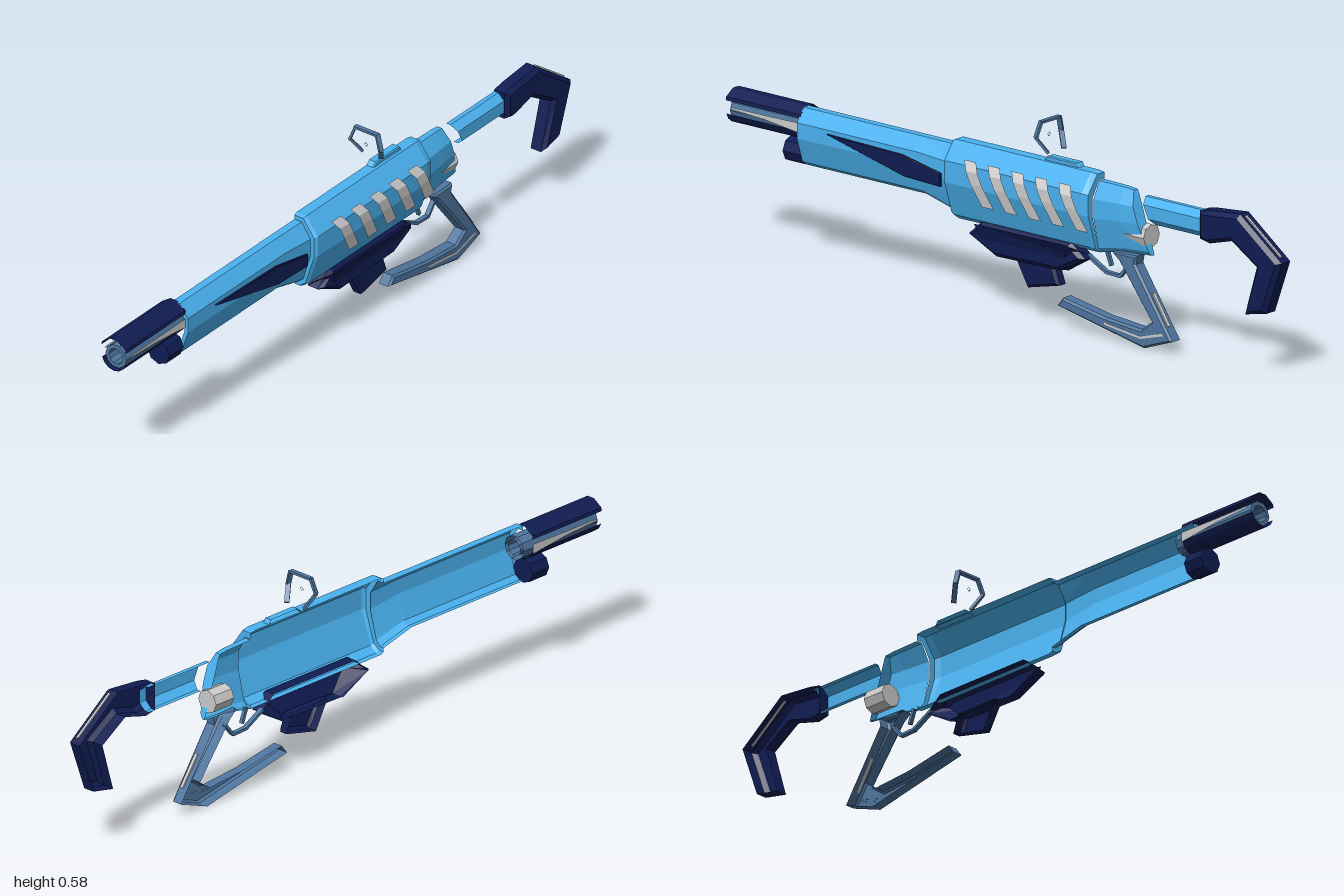
import * as THREE from 'three';

const BLUE = 0x4ab2f0, NAVY = 0x101c52, STEEL = 0x4e759f, GREY = 0xcccccc;
const Z0 = -0.014; // centre plane of the gun; the half shells open here

const mat = (color) => new THREE.MeshStandardMaterial({ color, flatShading: true, side: THREE.DoubleSide });

function add(group, name, color, geometry) {
  const mesh = new THREE.Mesh(geometry, mat(color));
  mesh.name = name;
  group.add(mesh);
  return mesh;
}

// Surface through rows of points (all rows the same length)
function skin(rows) {
  const pos = [];
  for (let i = 0; i + 1 < rows.length; i++) {
    for (let j = 0; j + 1 < rows[i].length; j++) {
      const a = rows[i][j], b = rows[i + 1][j], c = rows[i + 1][j + 1], d = rows[i][j + 1];
      pos.push(...a, ...b, ...c, ...a, ...c, ...d);
    }
  }
  const g = new THREE.BufferGeometry();
  g.setAttribute('position', new THREE.Float32BufferAttribute(pos, 3));
  g.computeVertexNormals();
  return g;
}

// Half-octagon cross-section: [depth fraction, height fraction]
const PROFILE = [[0, 1], [0.45, 1], [1, 0.77], [1, 0.5], [0.55, 0.07], [0.25, 0], [0, 0]];

// Half shell from stations [xTop, xBottom, yBottom, yTop, depth]
function shell(stations, profile = PROFILE) {
  return skin(stations.map(([xt, xb, yb, yt, d]) =>
    profile.map(([w, u]) => [xb + (xt - xb) * u, yb + (yt - yb) * u, Z0 + w * d])));
}

// Side outline raised from the centre plane, chamfered in front and open behind
function plate(points, depth, bevel, z = Z0) {
  const shape = new THREE.Shape(points.map((p) => new THREE.Vector2(...p)));
  const src = new THREE.ExtrudeGeometry(shape, {
    depth: depth - bevel, bevelEnabled: bevel > 0, bevelThickness: bevel,
    bevelSize: bevel, bevelOffset: -bevel, bevelSegments: 1, steps: 1,
  }).toNonIndexed();
  const p = src.attributes.position.array, keep = [];
  for (let i = 0; i < p.length; i += 9) {
    if (Math.max(p[i + 2], p[i + 5], p[i + 8]) > 1e-5) keep.push(...p.slice(i, i + 9));
  }
  const g = new THREE.BufferGeometry();
  g.setAttribute('position', new THREE.Float32BufferAttribute(keep, 3));
  g.computeVertexNormals();
  return g.translate(0, 0, z);
}

// Straight bar between two points
function bar(group, name, color, from, to, width, thick) {
  const a = new THREE.Vector3(...from), b = new THREE.Vector3(...to);
  const mesh = add(group, name, color, new THREE.BoxGeometry(width, thick, a.distanceTo(b) + thick * 0.4));
  mesh.position.copy(a).add(b).multiplyScalar(0.5);
  mesh.lookAt(b);
}

// Arc of a tube along x, angles measured from +z towards +y
function barrelArc(x0, x1, y, r, a0, a1, n) {
  return skin([x0, x1].map((x) => Array.from({ length: n + 1 }, (_, i) => {
    const a = a0 + (a1 - a0) * i / n;
    return [x, y + r * Math.sin(a), Z0 + r * Math.cos(a)];
  })));
}

export function createModel() {
  const gun = new THREE.Group();
  gun.name = 'rifle';

  // Main receiver with stepped end lips
  add(gun, 'receiver', BLUE, shell([
    [-0.19, -0.19, 0.262, 0.455, 0.05], [-0.19, -0.19, 0.25, 0.468, 0.068],
    [-0.18, -0.18, 0.245, 0.473, 0.074], [0.31, 0.31, 0.245, 0.473, 0.074],
    [0.33, 0.33, 0.245, 0.47, 0.068], [0.33, 0.33, 0.255, 0.452, 0.05],
  ]));
  // Long fore-end
  add(gun, 'foreEnd', BLUE, shell([
    [-0.735, -0.735, 0.305, 0.44, 0.04], [-0.735, -0.735, 0.29, 0.455, 0.052],
    [-0.3, -0.3, 0.29, 0.455, 0.052], [-0.19, -0.19, 0.262, 0.455, 0.055],
  ]));
  // Rear receiver with raked back
  add(gun, 'rearReceiver', BLUE, shell([
    [0.33, 0.33, 0.245, 0.45, 0.046], [0.42, 0.42, 0.262, 0.448, 0.042],
    [0.45, 0.51, 0.268, 0.445, 0.036], [0.455, 0.51, 0.27, 0.435, 0.0],
  ]));
  add(gun, 'topRail', BLUE, plate([[0.13, 0.47], [0.145, 0.485], [0.25, 0.485], [0.26, 0.47]], 0.024, 0.003));

  // Slanted vent strips hovering over the receiver side
  for (let i = 0; i < 5; i++) {
    const x = -0.115 + i * 0.085;
    const row = (dx) => [[0, 0.435, 0.056], [0.018, 0.41, 0.072], [0.035, 0.375, 0.072], [0.07, 0.315, 0.063]]
      .map(([s, y, z]) => [x + s + dx, y, z]);
    add(gun, 'ventStrip' + (i + 1), GREY, skin([row(0), row(0.042)]));
  }
  // Side fin
  add(gun, 'sideFin', NAVY, plate(
    [[-0.62, 0.408], [-0.35, 0.402], [-0.21, 0.375], [-0.21, 0.337], [-0.34, 0.342]], 0.007, 0.002, 0.042));

  // Barrel, cover and side strips
  add(gun, 'barrel', STEEL, barrelArc(-0.99, -0.7, 0.4, 0.036, 0, Math.PI * 2, 10));
  add(gun, 'bore', STEEL, barrelArc(-0.99, -0.7, 0.4, 0.024, 0, Math.PI * 2, 10));
  const muzzle = add(gun, 'muzzleRing', STEEL, new THREE.RingGeometry(0.024, 0.036, 10));
  muzzle.rotation.y = -Math.PI / 2;
  muzzle.position.set(-0.99, 0.4, Z0);
  add(gun, 'barrelCover', NAVY, skin([-1, -0.73].map((x) =>
    [[-0.042, 0.428], [-0.04, 0.438], [-0.012, 0.457], [0.012, 0.457], [0.04, 0.438], [0.042, 0.428]]
      .map(([z, y]) => [x, y, Z0 + z]))));
  add(gun, 'barrelCradle', NAVY, barrelArc(-1, -0.73, 0.4, 0.041, -Math.PI * 0.92, -Math.PI * 0.08, 6));
  for (const s of [-1, 1]) {
    const z = Z0 + s * 0.043;
    add(gun, s > 0 ? 'leftBarrelStrip' : 'rightBarrelStrip', GREY,
      skin([[[-0.98, 0.406, z], [-0.98, 0.412, z]], [[-0.86, 0.4, z], [-0.86, 0.412, z]],
        [[-0.73, 0.385, z], [-0.73, 0.414, z]]]));
  }
  const lug = add(gun, 'lowerLug', NAVY, new THREE.CylinderGeometry(0.037, 0.037, 0.065, 8, 1));
  lug.rotation.z = Math.PI / 2;
  lug.position.set(-0.767, 0.322, Z0);

  // Lower fore grip: flared skirt, keel and foot
  add(gun, 'gripSkirt', NAVY, skin([
    [[-0.13, 0.22, Z0], [-0.09, 0.255, 0.045], [0.24, 0.262, 0.058], [0.29, 0.222, Z0]],
    [[-0.13, 0.215, Z0], [-0.08, 0.225, 0.035], [0.23, 0.225, 0.035], [0.29, 0.218, Z0]],
    [[-0.03, 0.165, Z0], [-0.02, 0.172, 0.016], [0.18, 0.172, 0.016], [0.2, 0.165, Z0]],
  ]));
  add(gun, 'gripKeel', NAVY, plate(
    [[-0.13, 0.215], [-0.08, 0.26], [0.24, 0.26], [0.29, 0.22], [0.2, 0.172], [-0.03, 0.168]], 0.045, 0.012));
  add(gun, 'gripFoot', NAVY, plate(
    [[0.03, 0.18], [0.17, 0.18], [0.19, 0.125], [0.075, 0.098]], 0.032, 0.008));

  // Open hooked handle with inlay
  add(gun, 'handle', STEEL, plate(
    [[0.385, 0.262], [0.475, 0.265], [0.47, 0.24], [0.602, 0.045], [0.5, 0.008], [0.188, 0.07],
      [0.208, 0.096], [0.36, 0.07], [0.49, 0.06], [0.528, 0.088], [0.41, 0.24]], 0.036, 0.006));
  add(gun, 'handleInlay', GREY, plate(
    [[0.36, 0.05], [0.49, 0.034], [0.575, 0.058], [0.57, 0.064], [0.49, 0.041], [0.36, 0.056]], 0.002, 0, 0.021));
  bar(gun, 'handleBackInlay', GREY, [0.578, 0.083, 0.006], [0.523, 0.165, 0.004], 0.01, 0.006);

  // Trigger and guard
  const guard = [[0.28, 0.225], [0.345, 0.19], [0.395, 0.188], [0.425, 0.225]];
  for (let i = 0; i < 3; i++) {
    bar(gun, 'triggerGuard' + (i + 1), STEEL, [...guard[i], -0.007], [...guard[i + 1], -0.007], 0.014, 0.008);
  }
  bar(gun, 'trigger', STEEL, [0.345, 0.25, -0.009], [0.36, 0.212, -0.009], 0.01, 0.01);

  // Round plug at the back of the receiver
  const plug = add(gun, 'rearPlug', GREY, new THREE.CylinderGeometry(0.034, 0.034, 0.07, 8));
  plug.rotation.z = Math.PI / 2;
  plug.position.set(0.465, 0.32, Z0);

  // Stock tube and hooked butt
  add(gun, 'stockTube', BLUE, shell([[0.49, 0.525, 0.36, 0.435, 0.034], [0.73, 0.73, 0.36, 0.435, 0.034]],
    [[0, 1], [0.4, 1], [1, 0.75], [1, 0.25], [0.4, 0], [0, 0]]));
  add(gun, 'butt', NAVY, plate(
    [[0.705, 0.44], [0.74, 0.447], [0.85, 0.457], [1, 0.345], [0.945, 0.192], [0.868, 0.176],
      [0.91, 0.318], [0.82, 0.375], [0.74, 0.353], [0.705, 0.36]], 0.047, 0.012));
  bar(gun, 'buttInlay', GREY, [0.86, 0.451, 0.008], [0.985, 0.358, 0.008], 0.007, 0.005);

  // Open hexagonal sight with a small aiming mark
  const sight = new THREE.Group();
  sight.name = 'sight';
  gun.add(sight);
  const half = [[0.155, 0.498, 0.033], [0.128, 0.54, 0.053], [0.133, 0.582, 0.038]];
  const loop = [...half, ...half.map(([x, y, z]) => [x, y, -z]).reverse()];
  for (let i = 0; i < 5; i++) {
    const [p, q] = [loop[i], loop[i + 1]].map(([x, y, z]) => [x, y, z + Z0]);
    bar(sight, 'sightBar' + (i + 1), STEEL, p, q, 0.014, 0.007);
  }
  const mark = add(sight, 'aimingMark', STEEL, new THREE.RingGeometry(0.005, 0.007, 4));
  mark.rotation.y = Math.PI / 2;
  mark.position.set(0.13, 0.54, Z0);

  return gun;
}
